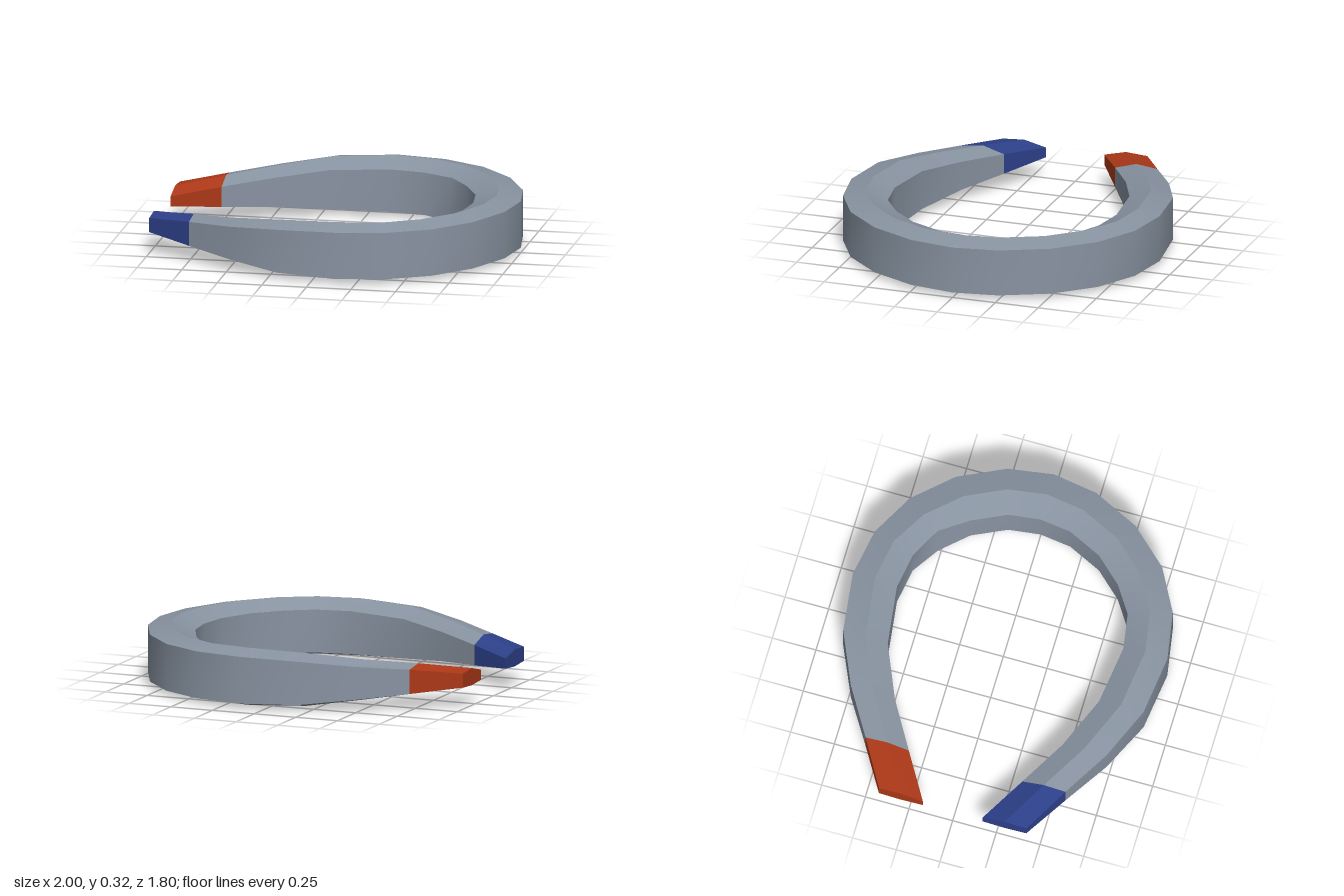
import * as THREE from 'three';

const MID_Y = 0.16;
const EDGE_RATIO = 0.82; // wall height relative to the central ridge height
const INNER_DROP = 0.022; // the upper inner edge sits a little lower

// Half of the bow, from tip to crown: outer x, outer z, inner x, inner z, ridge half height
const HALF = [
  [-1.0, 0.422, -1.0, 0.17, 0.048],
  [-0.745, 0.572, -0.745, 0.325, 0.083],
  [-0.485, 0.732, -0.485, 0.48, 0.113],
  [-0.195, 0.86, -0.195, 0.605, 0.148],
  [0.135, 0.9, 0.135, 0.648, 0.16],
  [0.405, 0.853, 0.335, 0.615, 0.16],
  [0.645, 0.722, 0.485, 0.515, 0.16],
  [0.835, 0.515, 0.62, 0.368, 0.16],
  [0.96, 0.255, 0.71, 0.178, 0.16],
  [1.0, 0, 0.733, 0, 0.16],
];

// Six-sided cross-section: outer wall, top ridge, inner wall, bottom ridge
function ring([ox, oz, ix, iz, h]) {
  const e = h * EDGE_RATIO;
  const mx = (ox + ix) / 2, mz = (oz + iz) / 2;
  return [
    [ox, -e, oz], [ox, e, oz], [mx, h, mz],
    [ix, e - INNER_DROP, iz], [ix, -e, iz], [mx, -h, mz],
  ].map(([x, y, z]) => new THREE.Vector3(x, y + MID_Y, z));
}

// Skin a run of cross-sections: each of the six strips is smooth along its
// length and has its own vertices, so the long edges stay sharp
function loft(rings, capStart, capEnd) {
  const pts = [], index = [];
  for (let k = 0; k < 6; k++) {
    const base = pts.length;
    rings.forEach((r) => pts.push(r[k], r[(k + 1) % 6]));
    for (let i = 0; i < rings.length - 1; i++) {
      const a = base + 2 * i, b = a + 1, d = a + 2, c = a + 3;
      index.push(a, d, c, a, c, b);
    }
  }
  const cap = (corners) => {
    const base = pts.length;
    pts.push(...corners);
    for (let k = 1; k < 5; k++) index.push(base, base + k, base + k + 1);
  };
  if (capStart) cap(rings[0]);
  if (capEnd) cap([...rings[rings.length - 1]].reverse());
  const geometry = new THREE.BufferGeometry().setFromPoints(pts);
  geometry.setIndex(index);
  geometry.computeVertexNormals();
  return geometry;
}

export function createModel() {
  const group = new THREE.Group();
  const mirrored = HALF.slice(0, -1).reverse().map(([ox, oz, ix, iz, h]) => [ox, -oz, ix, -iz, h]);
  const rings = [...HALF, ...mirrored].map(ring);
  // Slight dent in the inner wall: its upper edge overhangs the lower one
  rings[12][3].x += 0.025;
  rings[12][3].z -= 0.01;

  const add = (name, color, geometry) => {
    const mesh = new THREE.Mesh(geometry, new THREE.MeshStandardMaterial({ color }));
    mesh.name = name;
    group.add(mesh);
  };

  // Curved body and the two coloured pole tips
  add('body', 0x8893a1, loft(rings.slice(1, -1), false, false));
  add('frontTip', 0x2d408a, loft(rings.slice(0, 2), true, false));
  add('backTip', 0xac3818, loft(rings.slice(-2), false, true));

  return group;
}
